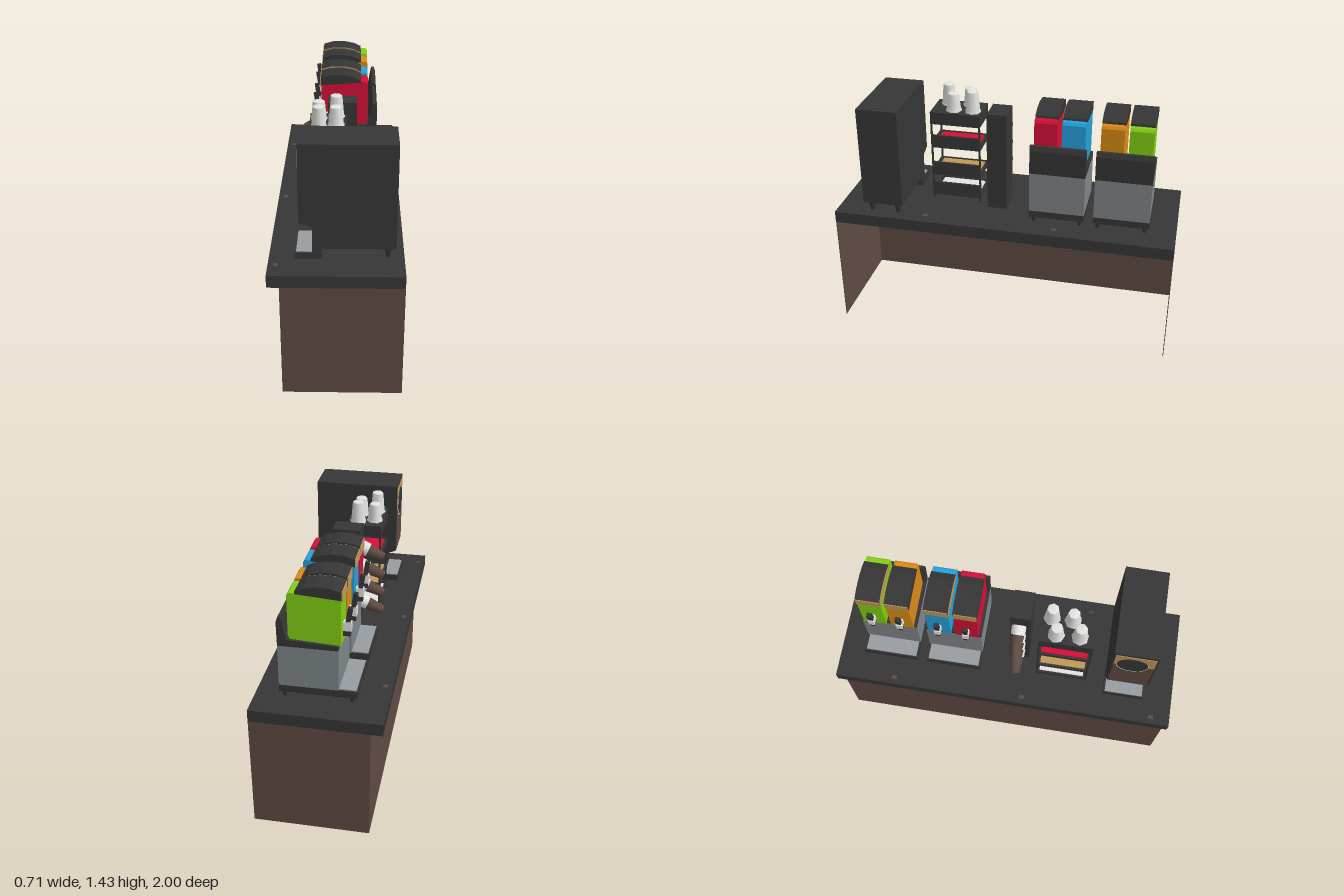
import * as THREE from 'three';

const paint = (name, color) => {
  const m = new THREE.MeshStandardMaterial({ color });
  m.name = name;
  return m;
};

export function createModel() {
  const dark = paint('charcoal', 0x363636), brown = paint('brown', 0x5f4a43);
  const grey = paint('steel grey', 0x80868a), light = paint('light steel', 0x989da1);
  const white = paint('white', 0xe4e4e2), tan = paint('tan', 0xc09858);
  const red = paint('red', 0xd51036), blue = paint('blue', 0x24a2dc);
  const orange = paint('orange', 0xda8b14), green = paint('green', 0x82d010);
  brown.side = THREE.DoubleSide;

  const root = new THREE.Group();
  root.name = 'drinkCounter';
  const group = (name) => {
    const g = new THREE.Group();
    g.name = name;
    root.add(g);
    return g;
  };
  const add = (parent, name, geo, mat) => {
    const m = new THREE.Mesh(geo, mat);
    m.name = name;
    parent.add(m);
    return m;
  };
  // Box given by its limits on each axis
  const box = (parent, name, mat, x0, x1, y0, y1, z0, z1) => {
    const m = add(parent, name, new THREE.BoxGeometry(x1 - x0, y1 - y0, z1 - z0), mat);
    m.position.set((x0 + x1) / 2, (y0 + y1) / 2, (z0 + z1) / 2);
    return m;
  };
  // Side profile in x and y, swept from z0 to z1
  const sweep = (parent, name, mat, points, z0, z1) => {
    const shape = new THREE.Shape(points.map(([x, y]) => new THREE.Vector2(x, y)));
    const geo = new THREE.ExtrudeGeometry(shape, { depth: z1 - z0, bevelEnabled: false });
    const m = add(parent, name, geo, mat);
    m.position.z = z0;
    return m;
  };
  const foot = (parent, x, z, y1, r) => {
    const h = y1 - 0.745;
    const m = add(parent, 'foot', new THREE.CylinderGeometry(r, r * 0.6, h, 8), dark);
    m.position.set(x, 0.745 + h / 2, z);
  };

  // Counter: slab on three thin panels, open on the serving side
  const counter = group('counter');
  box(counter, 'counterTop', dark, -0.36, 0.355, 0.675, 0.745, -1, 1);
  box(counter, 'longPanel', brown, -0.295, -0.291, 0, 0.675, -0.998, 0.998);
  for (const s of [-1, 1]) {
    const z = s * 0.997;
    box(counter, 'endPanel', brown, -0.295, 0.355, 0, 0.675, z - 0.002, z + 0.002);
  }
  for (const [x, z] of [[-0.32, -0.65], [-0.32, 0.12], [-0.32, 0.89], [0.28, -0.31], [0.28, 0.46]]) {
    box(counter, 'counterFleck', brown, x - 0.012, x + 0.012, 0.745, 0.747, z - 0.014, z + 0.014);
  }

  // Coffee machine with a recessed pouring bay
  const machine = group('coffeeMachine');
  sweep(machine, 'machineBody', dark, [
    [-0.2, 0.96], [-0.13, 0.935], [-0.13, 0.785], [-0.08, 0.785], [-0.08, 0.808],
    [0.31, 0.808], [0.31, 1.4], [-0.2, 1.4],
  ], 0.59, 0.83);
  box(machine, 'machineTray', dark, -0.22, -0.08, 0.745, 0.782, 0.59, 0.83);
  box(machine, 'machineTrayTop', light, -0.215, -0.13, 0.782, 0.786, 0.6, 0.82);
  box(machine, 'frontPanelLower', brown, -0.203, -0.199, 0.965, 1.25, 0.6, 0.82);
  box(machine, 'frontPanelUpper', tan, -0.203, -0.199, 1.25, 1.38, 0.6, 0.82);
  const disc = (name, mat, r, y, x) => {
    const m = add(machine, name, new THREE.CylinderGeometry(r, r, 0.003, 24), mat);
    m.rotation.z = Math.PI / 2;
    m.position.set(x, y, 0.7);
  };
  disc('cupPictureRim', white, 0.088, 1.262, -0.204);
  disc('cupPictureDrink', dark, 0.085, 1.272, -0.206);
  for (const z of [0.63, 0.79]) foot(machine, 0.27, z, 0.81, 0.022);

  // Four-tier rack with shallow trays
  const rack = group('cupRack');
  const fillings = [white, tan, red, null];
  [[0.765, 0.85], [0.9, 0.985], [1.08, 1.16], [1.23, 1.305]].forEach(([y0, y1], i) => {
    if (i === 3) {
      box(rack, 'rackTop', dark, -0.16, 0.045, y0, y1, 0.18, 0.48);
      return;
    }
    box(rack, 'shelf', dark, -0.16, 0.045, y0, y0 + 0.015, 0.18, 0.48);
    box(rack, 'shelfBack', dark, 0.033, 0.045, y0, y1, 0.18, 0.48);
    box(rack, 'shelfLip', dark, -0.16, -0.152, y0, y0 + 0.025, 0.18, 0.48);
    for (const z of [0.18, 0.472]) box(rack, 'shelfSide', dark, -0.16, 0.045, y0, y0 + 0.03, z, z + 0.008);
    box(rack, 'shelfFilling', fillings[i], -0.145, 0.028, y0 + 0.015, y0 + 0.022, 0.2, 0.46);
  });
  for (const x of [-0.16, 0.035]) for (const z of [0.18, 0.47]) {
    box(rack, 'rackPost', dark, x, x + 0.01, 0.745, 1.3, z, z + 0.01);
  }
  // Upturned cups on the rack
  [[-0.11, 0.27, 0.11], [-0.015, 0.235, 0.13], [-0.015, 0.35, 0.11], [-0.105, 0.4, 0.13]].forEach(([x, z, h], i) => {
    const profile = [[0.048, 0], [0.048, 0.012], [0.043, 0.014], [0.034, h - 0.006], [0.03, h], [0, h]];
    const geo = new THREE.LatheGeometry(profile.map(([r, y]) => new THREE.Vector2(r, y)), 7);
    white.side = THREE.DoubleSide;
    const cup = add(rack, 'cup', geo, white);
    cup.position.set(x, 1.304, z);
    cup.rotation.y = i * 0.7;
  });

  // Tower holding four tilted stacks of cups
  const tower = group('cupTower');
  box(tower, 'towerBody', dark, -0.065, 0.1, 0.745, 1.345, 0.01, 0.125);
  for (const y of [1.225, 1.108, 0.99, 0.872]) {
    const stack = new THREE.Group();
    stack.name = 'cupStack';
    stack.position.set(-0.06, y, 0.06);
    stack.rotation.z = Math.PI / 2 + 0.4;
    tower.add(stack);
    const collar = add(stack, 'stackCollar', new THREE.CylinderGeometry(0.04, 0.042, 0.055, 12), white);
    collar.position.y = 0.022;
    const cup = add(stack, 'stackedCup', new THREE.CylinderGeometry(0.026, 0.037, 0.1, 12), brown);
    cup.position.y = 0.098;
  }

  // Twin drink dispensers
  const dispenser = (z0, bowls) => {
    const g = group('drinkDispenser');
    const z1 = z0 + 0.32;
    box(g, 'dispenserBase', dark, -0.2, 0.22, 0.78, 0.82, z0, z1);
    box(g, 'dripTray', light, -0.193, -0.1, 0.82, 0.825, z0 + 0.01, z1 - 0.01);
    box(g, 'dispenserBody', grey, -0.1, 0.22, 0.82, 1.06, z0, z1);
    sweep(g, 'dispenserDeck', dark, [
      [-0.1, 1.06], [0.22, 1.06], [0.222, 1.2], [0.212, 1.23], [0.195, 1.23], [0.172, 1.1], [-0.1, 1.085],
    ], z0, z1);
    for (const x of [-0.17, 0.195]) for (const z of [z0 + 0.025, z1 - 0.025]) foot(g, x, z, 0.782, 0.016);
    for (const [mat, a, b, tanSide] of bowls) {
      const c = (a + b) / 2;
      sweep(g, 'bowl', mat, [
        [-0.112, 1.08], [0.15, 1.09], [0.165, 1.12], [0.165, 1.35], [0.155, 1.365], [-0.112, 1.365],
      ], a, b);
      const lid = [[-0.115, 1.345], [0.125, 1.362], [0.122, 1.378], [0.08, 1.398], [0.02, 1.41], [-0.06, 1.408], [-0.115, 1.392]];
      sweep(g, 'bowlLid', dark, lid, a - 0.002, b + 0.002);
      if (tanSide) sweep(g, 'lidSideTrim', tan, lid, b + 0.002, b + 0.004);
      box(g, 'lidFrontTrim', tan, -0.119, -0.114, 1.335, 1.39, a, b);
      // Tap: spout, white valve and handle
      box(g, 'tapSpout', dark, -0.15, -0.11, 1.115, 1.145, c - 0.014, c + 0.014);
      box(g, 'tapValve', white, -0.155, -0.11, 1.145, 1.195, c - 0.017, c + 0.017);
      const handle = box(g, 'tapHandle', dark, -0.155, -0.13, 1.19, 1.275, c - 0.013, c + 0.013);
      handle.rotation.z = 0.15;
    }
  };
  dispenser(-0.47, [[red, -0.295, -0.165, false], [blue, -0.455, -0.322, true]]);
  dispenser(-0.845, [[orange, -0.67, -0.54, false], [green, -0.83, -0.697, true]]);

  return root;
}
